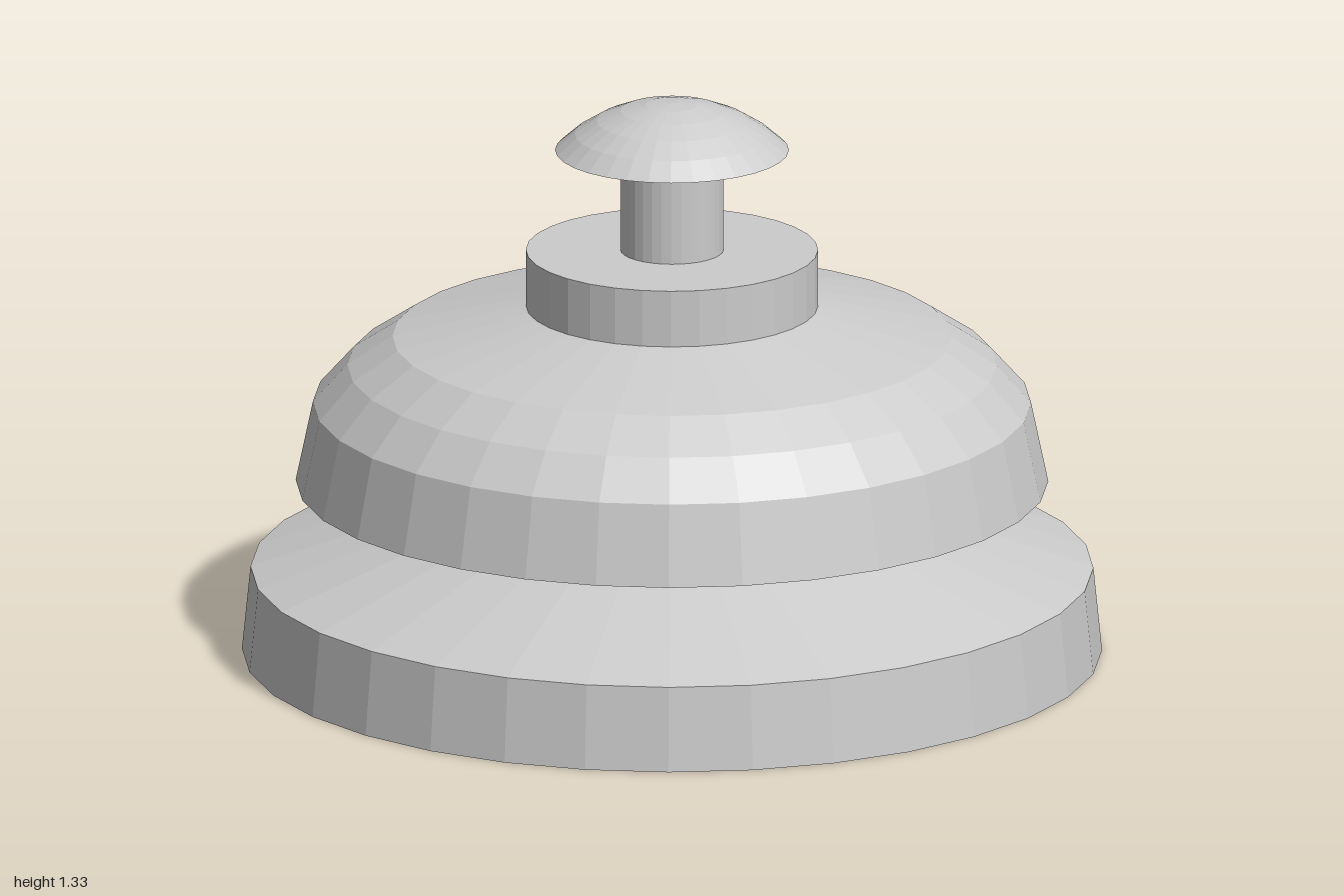
import * as THREE from 'three';

const SEGMENTS = 32;

const material = new THREE.MeshStandardMaterial({
  color: 0xcccccc,
  flatShading: true,
  side: THREE.DoubleSide,
});

// Turns a [radius, height] profile, listed bottom to top, into a named part
function turned(name, profile) {
  const points = profile.map(([r, y]) => new THREE.Vector2(r, y));
  const mesh = new THREE.Mesh(new THREE.LatheGeometry(points, SEGMENTS), material);
  mesh.name = name;
  return mesh;
}

export function createModel() {
  const bell = new THREE.Group();
  bell.name = 'deskBell';

  // Hollow base: slightly tapered wall, sloping shoulder, open underneath
  bell.add(turned('base', [[1, 0], [0.98, 0.2], [0.6, 0.33]]));

  // Open neck between base and dome
  bell.add(turned('neck', [[0.6, 0.33], [0.6, 0.41]]));

  // Hollow dome with a flat underside ring around the neck
  bell.add(turned('dome', [
    [0.6, 0.41], [0.875, 0.41], [0.835, 0.6], [0.755, 0.69], [0.65, 0.76], [0.34, 0.835],
  ]));

  // Collar on the dome, closed on top
  bell.add(turned('collar', [[0.34, 0.835], [0.34, 0.97], [0, 0.97]]));

  // Stem and the thin pin that carries the button
  bell.add(turned('stem', [[0.12, 0.97], [0.12, 1.18], [0, 1.18]]));
  bell.add(turned('pin', [[0.03, 1.18], [0.03, 1.215]]));

  // Button: shallow spherical cap with a flat underside
  const rim = 0.272, bottom = 1.212, top = 1.327, rings = 5;
  const rise = top - bottom;
  const radius = (rim * rim + rise * rise) / (2 * rise);
  const halfAngle = Math.asin(rim / radius);
  const cap = [[0, bottom]];
  for (let i = 0; i <= rings; i++) {
    const a = halfAngle * (1 - i / rings);
    cap.push([radius * Math.sin(a), top - radius * (1 - Math.cos(a))]);
  }
  bell.add(turned('button', cap));

  return bell;
}
